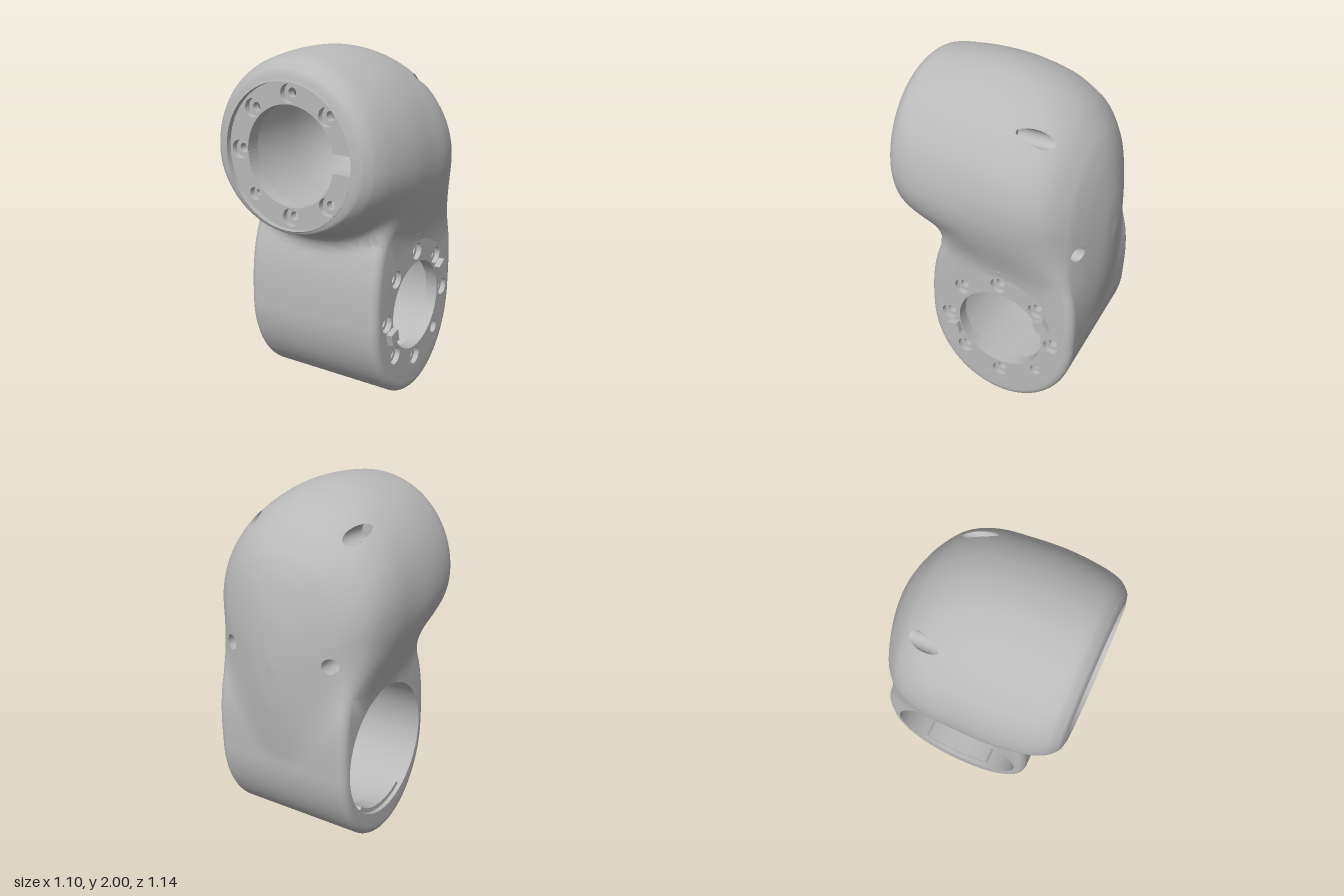
import * as THREE from 'three';

const TAU = Math.PI * 2;
const AXIS_Y = 0.53, AXIS_Z = -0.07;      // axis of the lower bore (runs along x)
const FRONT_Y = 1.47;                     // axis of the upper bore (runs along z)
const END = 0.425, BORE = 0.385, POCKET = 0.043;
const pockets = [[0.32, 1.785, -0.12], [-0.32, 1.785, -0.12], [0.32, 1.15, -0.3], [-0.32, 1.15, -0.3]];

// Upper body sections: z, half width, top, bottom, centre height
const sections = [
  [-0.57, 0.02, 1.16, 1.08, 1.12], [-0.565, 0.08, 1.28, 0.96, 1.12], [-0.555, 0.13, 1.38, 0.86, 1.13],
  [-0.53, 0.21, 1.51, 0.74, 1.16], [-0.5, 0.29, 1.61, 0.68, 1.2], [-0.45, 0.385, 1.71, 0.66, 1.27],
  [-0.35, 0.48, 1.83, 0.69, 1.35], [-0.2, 0.53, 1.925, 0.75, 1.39], [0, 0.545, 1.985, 0.82, 1.4],
  [0.2, 0.55, 2, 0.93, 1.41], [0.4, 0.527, 1.987, 1.01, 1.43], [0.5, 0.493, 1.965, 1.045, 1.45],
  [0.55, 0.45, 1.92, 1.06, 1.465], [0.562, 0.425, 1.895, 1.066, FRONT_Y], [0.57, 0.39, 1.86, 1.08, FRONT_Y],
];

// Smooth interpolation of one section column at z
function section(z, k) {
  const s = sections, n = s.length - 1;
  z = Math.min(Math.max(z, s[0][0]), s[n][0]);
  let i = 0;
  while (i < n - 1 && z > s[i + 1][0]) i++;
  const slope = (j) => {
    const a = s[Math.max(j - 1, 0)], b = s[Math.min(j + 1, n)];
    return (b[k] - a[k]) / (b[0] - a[0]);
  };
  const h = s[i + 1][0] - s[i][0], t = (z - s[i][0]) / h, u = 1 - t;
  return s[i][k] * (1 + 2 * t) * u * u + slope(i) * h * t * u * u
    + s[i + 1][k] * t * t * (3 - 2 * t) - slope(i + 1) * h * t * t * u;
}

// Housing surface: negative inside, the two bodies blended with a fillet
function field(x, y, z) {
  const w = section(z, 1), c = section(z, 4);
  const h = y > c ? section(z, 2) - c : c - section(z, 3);
  const upper = (Math.hypot(x / w, (y - c) / h) - 1) * Math.min(w, h);

  const dy = y - AXIS_Y, dz = z - AXIS_Z, e = dy > 0 ? 2.5 : 2;
  const depth = dz > 0 ? 0.45 : 0.44 + 0.06 * Math.min(Math.max(dy, 0), 0.5);
  const g = Math.abs(dz / depth) ** e + Math.abs(dy / (dy > 0 ? 0.7 : 0.53)) ** e;
  const r = 0.05, a = (g ** (1 / e) - 1) * 0.45 + r, b = Math.abs(x) - END + r;
  const lower = Math.min(Math.max(a, b), 0) + Math.hypot(Math.max(a, 0), Math.max(b, 0)) - r;

  const k = 0.11, m = Math.max(k - Math.abs(upper - lower), 0) / k;
  return Math.min(upper, lower) - m * m * k / 4;
}

// Distance from an inner point to the surface along a direction
function cast(o, d, limit) {
  const f = (t) => field(o[0] + d[0] * t, o[1] + d[1] * t, o[2] + d[2] * t);
  let t = 0;
  while (t < limit && f(t) < 0) t += 0.02;
  let lo = Math.max(t - 0.02, 0), hi = t;
  for (let i = 0; i < 12; i++) {
    const mid = (lo + hi) / 2;
    if (f(mid) < 0) lo = mid; else hi = mid;
  }
  return Math.min(lo, limit);
}

const backZ = (x, y) => -0.05 - cast([x, y, -0.05], [0, 0, -1], 0.54);

// Skin from rings of points, with normals taken from the field
function skin(rings, closeEnd) {
  const pos = [], nor = [], index = [], n = rings[0].length, e = 0.003;
  if (closeEnd) rings.push(rings[0].map(() => closeEnd));
  for (const p of rings.flat()) {
    let [x, y, z] = p;
    if (closeEnd && z < 0) {
      for (const [hx, hy] of pockets) {
        const d = Math.hypot(x - hx, y - hy);
        if (d < POCKET * 0.55 || d > POCKET * 1.3) continue;
        x = hx + (x - hx) * POCKET / d;
        y = hy + (y - hy) * POCKET / d;
        z = backZ(x, y);
      }
    }
    const v = new THREE.Vector3(field(x + e, y, z) - field(x - e, y, z),
      field(x, y + e, z) - field(x, y - e, z), field(x, y, z + e) - field(x, y, z - e)).normalize();
    pos.push(x, y, z);
    nor.push(v.x, v.y, v.z);
  }
  const inPocket = (tri) => closeEnd && pockets.some(([hx, hy]) => tri.every((i) =>
    pos[3 * i + 2] < 0 && Math.hypot(pos[3 * i] - hx, pos[3 * i + 1] - hy) < POCKET + 1e-4));
  for (let i = 0; i < rings.length - 1; i++) {
    for (let j = 0; j < n; j++) {
      const a = i * n + j, b = i * n + (j + 1) % n;
      for (const tri of [[a, a + n, b], [b, a + n, b + n]]) if (!inPocket(tri)) index.push(...tri);
    }
  }
  const g = new THREE.BufferGeometry();
  g.setAttribute('position', new THREE.Float32BufferAttribute(pos, 3));
  g.setAttribute('normal', new THREE.Float32BufferAttribute(nor, 3));
  g.setIndex(index);
  return g;
}

function upperSkin() {
  const rings = [], N = 130, M = 168;
  for (let i = 0; i <= N; i++) {
    const z = 0.57 * Math.cos(Math.PI * i / N), c = section(z, 4);
    rings.push(Array.from({ length: M }, (_, j) => {
      const dx = Math.cos(TAU * j / M), dy = Math.sin(TAU * j / M);
      const r = cast([0, c, z], [dx, dy, 0], dy < 0 ? Math.min((c - 0.965) / -dy, 2) : 2);
      return [dx * r, c + dy * r, z];
    }));
  }
  return skin(rings, [0, 1.12, -0.571]);
}

function lowerSkin() {
  const rings = [], N = 72, M = 144;
  const ring = (x, radius) => rings.push(Array.from({ length: M }, (_, j) => {
    const dz = Math.cos(TAU * j / M), dy = Math.sin(TAU * j / M);
    const r = radius || cast([x, AXIS_Y, AXIS_Z], [0, dy, dz], dy > 0 ? Math.min(0.455 / dy, 2) : 2);
    return [x, AXIS_Y + dy * r, AXIS_Z + dz * r];
  }));
  ring(-END, BORE);
  for (let i = 0; i <= N; i++) ring((0.0001 - END) * Math.cos(Math.PI * i / N));
  ring(END, BORE);
  return skin(rings);
}

// One layer of a bolted ring, optionally with a slot open to the inside
function flangeLayer(outer, inner, depth, z, holeRadius, small, slot) {
  const shape = new THREE.Shape().absarc(0, 0, outer, 0, TAU);
  const hole = new THREE.Path();
  if (slot) {
    const a = Math.asin(0.05 / inner);
    hole.moveTo(outer - 0.006, 0.05);
    hole.lineTo(inner * Math.cos(a), 0.05);
    hole.absarc(0, 0, inner, a, TAU - a);
    hole.lineTo(outer - 0.006, -0.05);
    hole.closePath();
  } else hole.absarc(0, 0, inner, 0, TAU);
  shape.holes.push(hole);
  for (let i = slot ? 1 : 0; i < 8; i++) {
    const a = i * Math.PI / 4, r = holeRadius * (i === small ? 0.72 : 1);
    shape.holes.push(new THREE.Path().absarc(0.325 * Math.cos(a), 0.325 * Math.sin(a), r, 0, TAU));
  }
  return new THREE.ExtrudeGeometry(shape, { depth, bevelEnabled: false, curveSegments: 36 }).translate(0, 0, z);
}

export function createModel() {
  const model = new THREE.Group();
  const grey = new THREE.MeshStandardMaterial({ color: 0xbababa, side: THREE.DoubleSide });
  grey.name = 'housing grey';
  const add = (name, geometry, parent = model) => {
    const mesh = new THREE.Mesh(geometry, grey);
    mesh.name = name;
    parent.add(mesh);
    return mesh;
  };

  // Outer shell
  add('upperHousing', upperSkin());
  add('lowerHousing', lowerSkin());

  // Hollow behind the front opening
  const cup = [[0, -0.5], [0.15, -0.47], [0.27, -0.38], [0.35, -0.22], [0.385, 0], [0.39, 0.57]];
  add('upperCavity', new THREE.LatheGeometry(cup.map((p) => new THREE.Vector2(...p)), 72)
    .rotateX(Math.PI / 2).translate(0, FRONT_Y, 0));

  // Front flange, set back a little in its opening
  const front = new THREE.Group();
  front.name = 'frontFlange';
  front.position.set(0, FRONT_Y, 0);
  add('frontCounterbores', flangeLayer(0.39, 0.27, 0.035, 0.505, 0.05, 5, true), front);
  add('frontBoltRing', flangeLayer(0.39, 0.27, 0.045, 0.46, 0.025, 5, true), front);
  model.add(front);

  // Side flange, flush with the left end of the lower bore
  const side = new THREE.Group();
  side.name = 'sideFlange';
  side.position.set(0, AXIS_Y, AXIS_Z);
  side.rotation.y = Math.PI / 2;
  add('sideCounterbores', flangeLayer(BORE, 0.26, 0.03, END - 0.03, 0.05, 7), side);
  add('sideBoltRing', flangeLayer(BORE, 0.26, 0.04, END - 0.07, 0.028, 7), side);
  // Locating pins
  for (const [x, y, turn] of [[-0.29, -0.085, 0.26], [0.265, 0.15, 0.52]]) {
    const pin = add('locatingPin', new THREE.BoxGeometry(0.07, 0.07, 0.06), side);
    pin.position.set(x, y, END + 0.005);
    pin.rotation.z = turn;
  }
  add('indexMark', new THREE.CylinderGeometry(0.015, 0.015, 0.006, 16).rotateX(Math.PI / 2)
    .translate(0, 0.435, END), side);
  // Ledge inside the open end
  const ledge = new THREE.Shape().absarc(0, 0, BORE, -2.1, -0.9);
  ledge.absarc(0, 0, 0.358, -0.9, -2.1, true);
  add('coverLedge', new THREE.ExtrudeGeometry(ledge, { depth: 0.1, bevelEnabled: false, curveSegments: 24 })
    .translate(0, 0, -0.4), side);
  model.add(side);

  add('lowerBore', new THREE.CylinderGeometry(BORE, BORE, 2 * END - 0.03, 72, 1, true)
    .rotateZ(Math.PI / 2).translate(-0.015, AXIS_Y, AXIS_Z));

  // Screw pockets in the back, their rims following the shell
  for (const [x, y, floor] of pockets) {
    const wall = new THREE.CylinderGeometry(POCKET, POCKET, 1, 28, 1, true).rotateX(Math.PI / 2);
    const p = wall.attributes.position;
    for (let i = 0; i < p.count; i++) {
      const px = p.getX(i) + x, py = p.getY(i) + y;
      p.setXYZ(i, px, py, p.getZ(i) < 0 ? backZ(px, py) : floor);
    }
    add('screwPocket', wall);
    add('pocketFloor', new THREE.CircleGeometry(POCKET, 28).rotateY(Math.PI).translate(x, y, floor));
  }
  return model;
}
